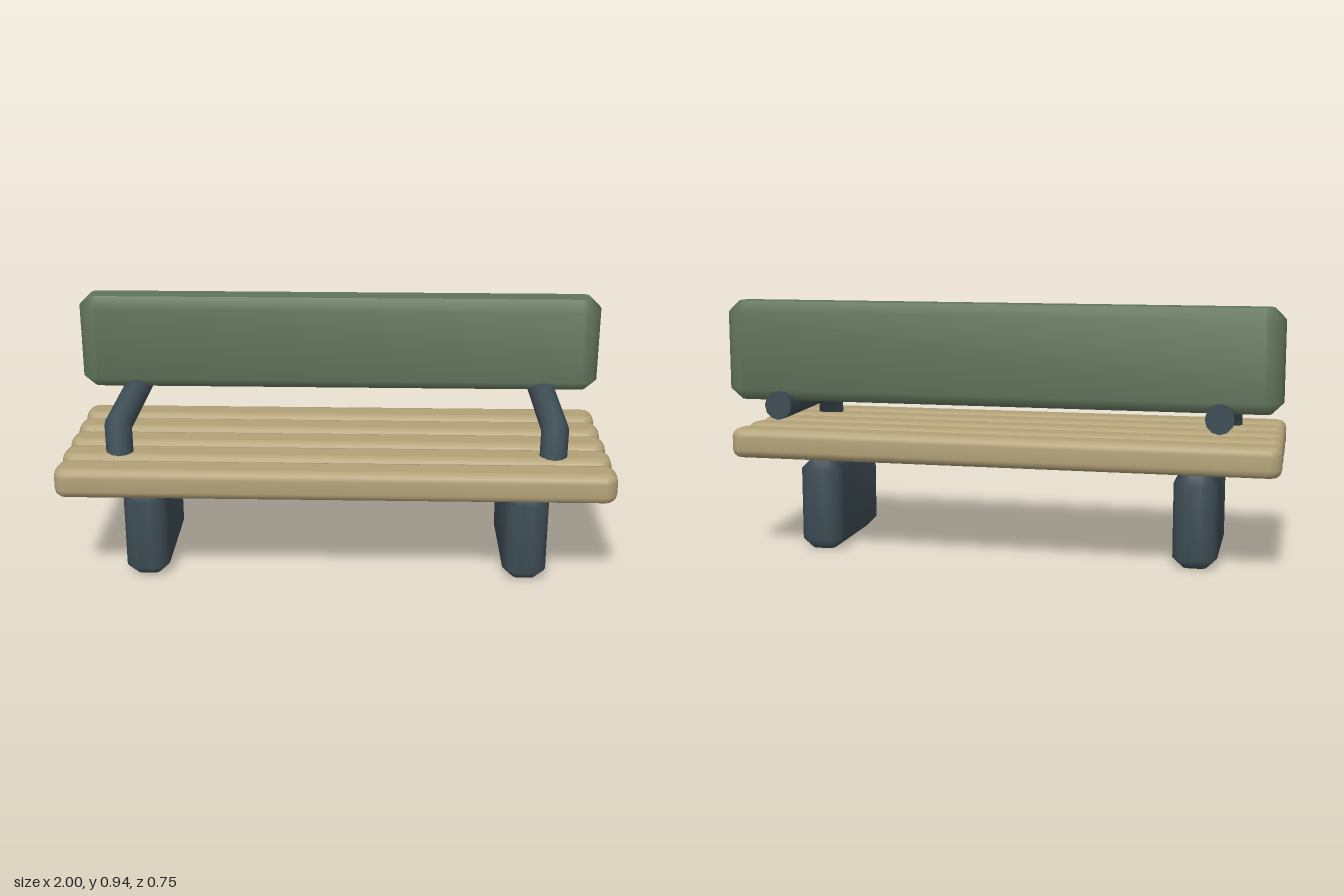
import * as THREE from 'three';
import { mergeVertices, mergeGeometries } from 'three/addons/utils/BufferGeometryUtils.js';

const green = new THREE.MeshStandardMaterial({ name: 'green backrest', color: 0x61745c });
const tan = new THREE.MeshStandardMaterial({ name: 'tan wood', color: 0xb3a278 });
const slate = new THREE.MeshStandardMaterial({ name: 'slate metal', color: 0x3d4c54 });

// Block with rounded plan corners and bevelled top and bottom; smooth sides, flat lids
function block(w, h, d, radius, bevel, segments) {
  const x = w / 2, y = d / 2, r = radius;
  const s = new THREE.Shape();
  s.moveTo(-x + r, -y);
  s.lineTo(x - r, -y);
  s.absarc(x - r, -y + r, r, -Math.PI / 2, 0);
  s.lineTo(x, y - r);
  s.absarc(x - r, y - r, r, 0, Math.PI / 2);
  s.lineTo(-x + r, y);
  s.absarc(-x + r, y - r, r, Math.PI / 2, Math.PI);
  s.lineTo(-x, -y + r);
  s.absarc(-x + r, -y + r, r, Math.PI, Math.PI * 1.5);
  const g = new THREE.ExtrudeGeometry(s, {
    depth: h - 2 * bevel, bevelThickness: bevel, bevelSize: bevel,
    bevelOffset: -bevel, bevelSegments: segments, curveSegments: 5,
  });
  g.translate(0, 0, bevel - h / 2);
  g.rotateX(-Math.PI / 2);
  const pos = g.attributes.position.array;
  const split = g.groups[0].count * 3;
  const part = (array) => {
    const p = new THREE.BufferGeometry();
    p.setAttribute('position', new THREE.BufferAttribute(array, 3));
    return p;
  };
  const lids = mergeVertices(part(pos.slice(0, split)), 1e-5);
  const sides = mergeVertices(part(pos.slice(split)), 1e-5);
  lids.computeVertexNormals();
  sides.computeVertexNormals();
  return mergeGeometries([lids, sides]);
}

// Bent tube through three rings, each given as centre (y, z) and in-plane radius vector (y, z)
function armGeometry() {
  const n = 12, rx = 0.05;
  const rings = [
    [0.31, 0.1725, 0, 0.0525],
    [0.57, 0.179, 0.046, 0.024],
    [0.567, -0.375, 0.0525, 0],
  ];
  const verts = [], index = [];
  const addRing = ([cy, cz, uy, uz]) => {
    const start = verts.length / 3;
    for (let i = 0; i < n; i++) {
      const a = (i / n) * Math.PI * 2, c = Math.cos(a), s = Math.sin(a);
      verts.push(rx * c, cy + uy * s, cz + uz * s);
    }
    return start;
  };
  const starts = rings.map(addRing);
  for (let k = 0; k < 2; k++) {
    for (let i = 0; i < n; i++) {
      const j = (i + 1) % n, a = starts[k], b = starts[k + 1];
      index.push(a + i, b + i, a + j, a + j, b + i, b + j);
    }
  }
  // Flat end caps
  const low = addRing(rings[0]), end = addRing(rings[2]);
  for (let i = 1; i < n - 1; i++) {
    index.push(low, low + i, low + i + 1, end, end + i + 1, end + i);
  }
  const g = new THREE.BufferGeometry();
  g.setAttribute('position', new THREE.Float32BufferAttribute(verts, 3));
  g.setIndex(index);
  g.computeVertexNormals();
  return g;
}

export function createModel() {
  const bench = new THREE.Group();
  bench.name = 'bench';
  const add = (name, geometry, material, x, y, z) => {
    const m = new THREE.Mesh(geometry, material);
    m.name = name;
    m.position.set(x, y, z);
    bench.add(m);
  };

  // Backrest
  add('backrest', block(2, 0.36, 0.165, 0.07, 0.04, 1), green, 0, 0.76, -0.278);

  // Five seat slats
  const slat = block(2, 0.108, 0.13, 0.045, 0.03, 3);
  for (let i = 0; i < 5; i++) {
    add('seatSlat' + (i + 1), slat, tan, 0, 0.414, 0.31 - 0.147 * i);
  }

  // Legs and armrests on both sides
  const leg = block(0.16, 0.34, 0.495, 0.06, 0.036, 1);
  const arm = armGeometry();
  for (const [side, s] of [['left', 1], ['right', -1]]) {
    add(side + 'Leg', leg, slate, 0.7 * s, 0.17, 0.0175);
    add(side + 'Armrest', arm, slate, 0.79 * s, 0, 0);
  }
  return bench;
}
